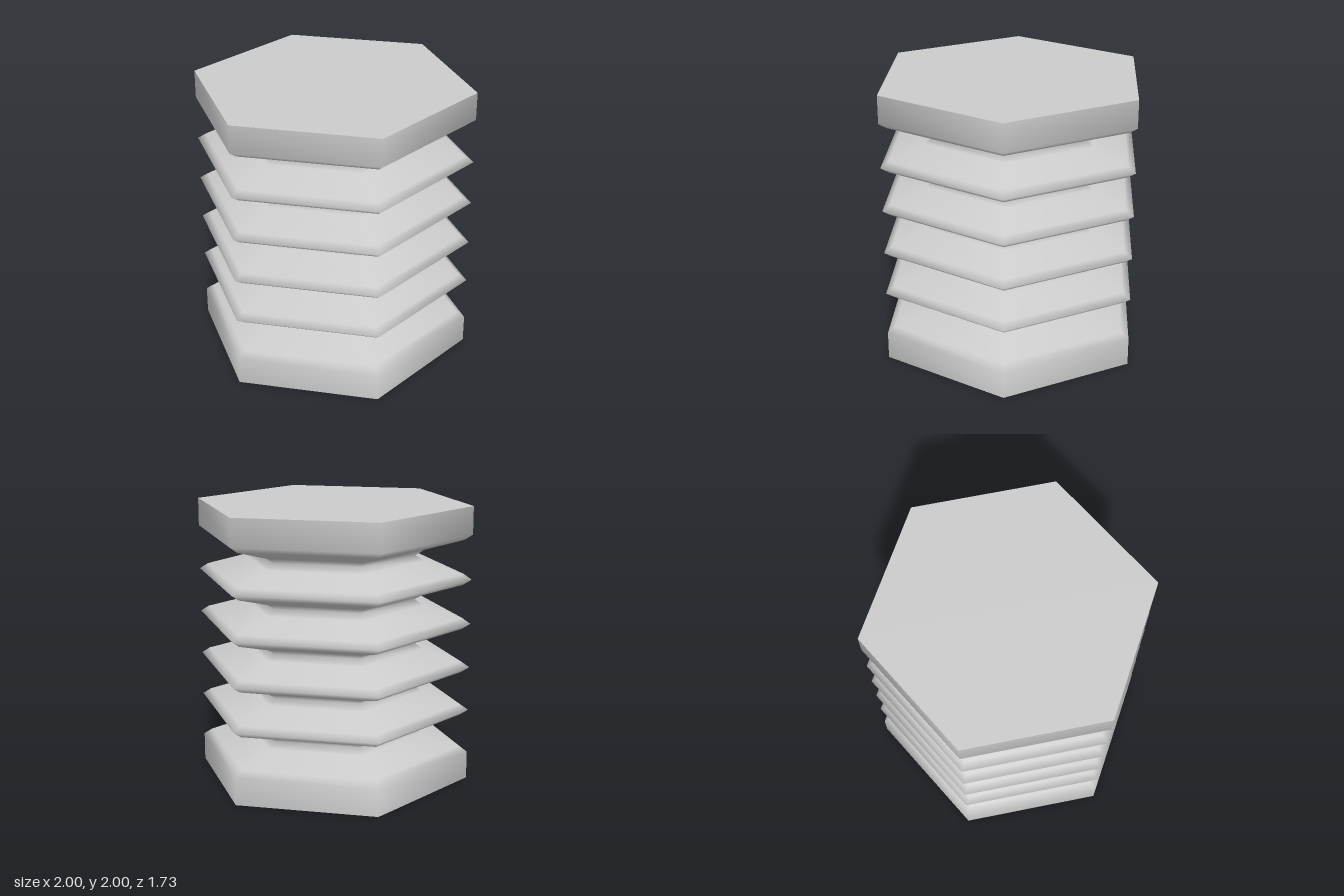
import * as THREE from 'three';

const SIDES = 6;
const FOLDS = 5;
const PITCH = 0.32;
const COLLAR = 0.2; // height of the plain end collars

// Outline from bottom to top: collar, bevelled grooves and ridges, collar
function bellowsProfile() {
  const points = [new THREE.Vector2(1, 0), new THREE.Vector2(1, COLLAR)];
  // one groove, from ridge crest to next ridge crest: [radius, height]
  const fold = [[0.94, 0.04], [0.66, 0.12], [0.6, 0.16], [0.66, 0.2], [0.94, 0.28], [1, 0.32]];
  for (let i = 0; i < FOLDS; i++) {
    for (const [r, h] of fold) points.push(new THREE.Vector2(r, COLLAR + i * PITCH + h));
  }
  points.push(new THREE.Vector2(1, 2));
  return points;
}

export function createModel() {
  const group = new THREE.Group();
  group.name = 'hexagonalBellows';
  const material = new THREE.MeshStandardMaterial({ color: 0xcccccc });

  // Folded wall, smooth shaded, with corners on the x axis
  const wall = new THREE.Mesh(
    new THREE.LatheGeometry(bellowsProfile(), SIDES, Math.PI / 2), material);
  wall.name = 'foldedWall';
  group.add(wall);

  // Flat end caps
  for (const [name, y, tilt] of [['topCap', 2, -Math.PI / 2], ['bottomCap', 0, Math.PI / 2]]) {
    const cap = new THREE.Mesh(new THREE.CircleGeometry(1, SIDES).rotateX(tilt), material);
    cap.name = name;
    cap.position.y = y;
    group.add(cap);
  }
  return group;
}
